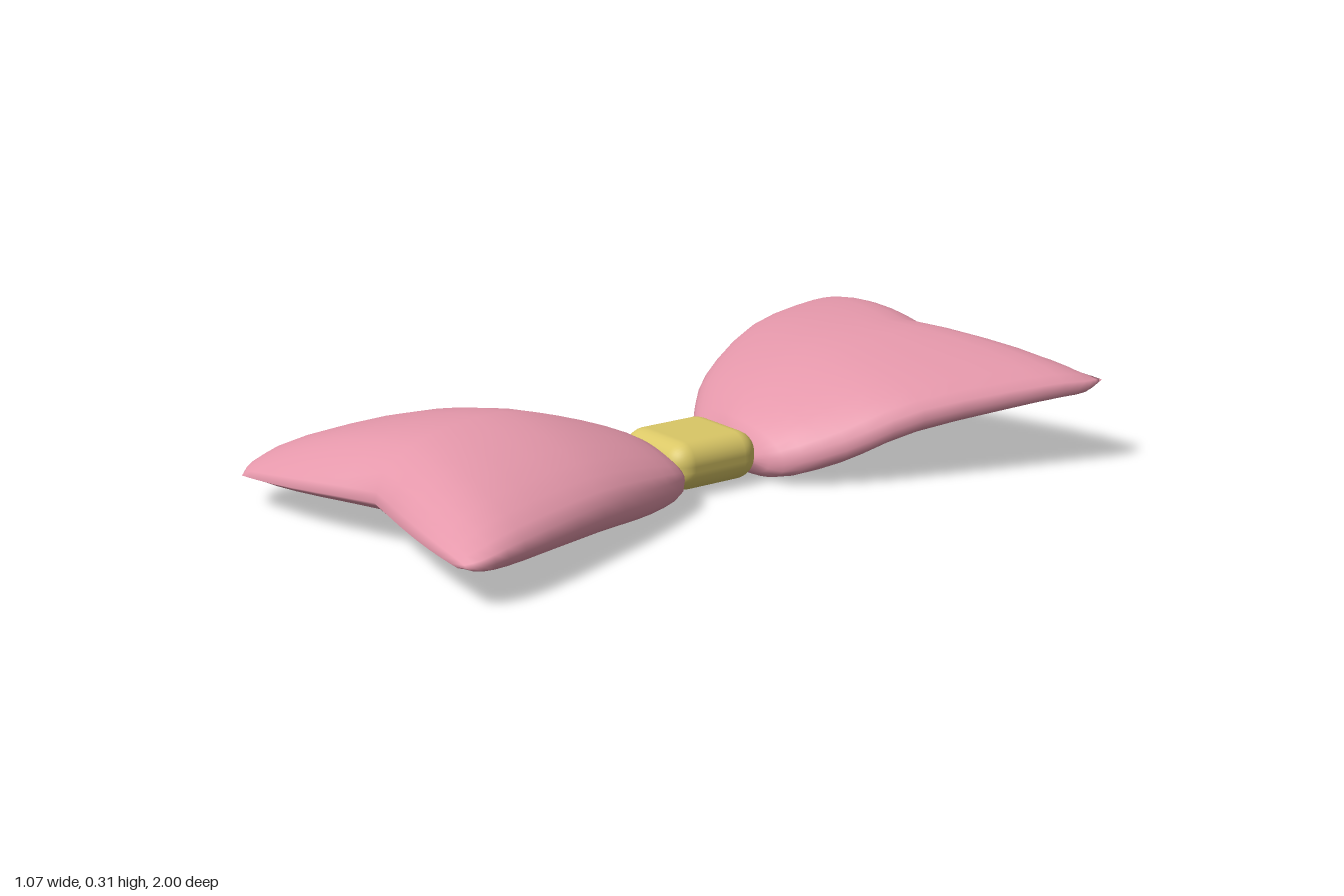
import * as THREE from 'three';
import { mergeVertices } from 'three/addons/utils/BufferGeometryUtils.js';
import { RoundedBoxGeometry } from 'three/addons/geometries/RoundedBoxGeometry.js';

// Each row of a loop, from knot to rim:
// [right edge x, z,  middle z,  left edge x, z,  middle top y, bottom y,  right edge y, left edge y]
const FRONT_ROWS = [
  [-0.08, 0.13, 0.11, 0.13, 0.105, 0.08, 0.08, 0.08, 0.08],
  [-0.16, 0.17, 0.14, 0.21, 0.15, 0.14, 0.02, 0.07, 0.07],
  [-0.31, 0.33, 0.30, 0.29, 0.29, 0.21, 0.02, 0.08, 0.08],
  [-0.47, 0.56, 0.50, 0.38, 0.50, 0.257, 0.05, 0.10, 0.10],
  [-0.54, 0.82, 0.72, 0.48, 0.78, 0.24, 0.07, 0.09, 0.105],
  [-0.52, 0.94, 0.85, 0.50, 0.90, 0.18, 0.085, 0.085, 0.10],
  [-0.46, 0.995, 0.89, 0.47, 0.95, 0.115, 0.115, 0.085, 0.10],
];
const BACK_ROWS = [
  [-0.10, -0.13, -0.135, 0.08, -0.13, 0.065, 0.065, 0.065, 0.06],
  [-0.22, -0.20, -0.17, 0.20, -0.17, 0.14, 0.005, 0.07, 0.06],
  [-0.37, -0.35, -0.32, 0.30, -0.29, 0.225, 0.05, 0.12, 0.10],
  [-0.50, -0.60, -0.50, 0.39, -0.47, 0.285, 0.11, 0.19, 0.17],
  [-0.54, -0.84, -0.70, 0.50, -0.78, 0.315, 0.17, 0.225, 0.21],
  [-0.53, -0.93, -0.80, 0.53, -0.90, 0.295, 0.19, 0.23, 0.215],
  [-0.47, -1.0, -0.84, 0.52, -0.96, 0.245, 0.245, 0.245, 0.225],
];

// Puffy cloth loop, lofted from lens-shaped sections that arch across x
function loopGeometry(rows, flip) {
  const spline = (pick) =>
    new THREE.CatmullRomCurve3(rows.map((r) => new THREE.Vector3(...pick(r))), false, 'catmullrom', 0.5);
  const right = spline((r) => [r[0], r[7], r[1]]);
  const left = spline((r) => [r[3], r[8], r[4]]);
  const middle = spline((r) => [(r[5] - r[6]) / 2, (r[5] + r[6]) / 2, r[2]]); // x holds half thickness
  const steps = (rows.length - 1) * 3;
  const sides = 32;
  const positions = [];
  const index = [];

  for (let i = 0; i <= steps; i++) {
    const t = i / steps;
    const L = left.getPoint(t);
    const R = right.getPoint(t);
    const M = middle.getPoint(t);
    for (let j = 0; j < sides; j++) {
      const a = (j / sides) * Math.PI * 2;
      const u = Math.cos(a);
      const s = Math.sin(a);
      const edge = u > 0 ? L : R;
      const k = Math.abs(u);
      const x = THREE.MathUtils.lerp(R.x, L.x, (u + 1) / 2);
      const arch = M.y + (edge.y - M.y) * Math.pow(k, 1.4);
      const y = arch + Math.max(M.x, 0) * Math.sign(s) * Math.pow(Math.abs(s), 0.8);
      const z = M.z + (edge.z - M.z) * Math.sin((k * Math.PI) / 2);
      positions.push(x, y, z);
    }
  }
  for (let i = 0; i < steps; i++) {
    for (let j = 0; j < sides; j++) {
      const a = i * sides + j;
      const b = i * sides + ((j + 1) % sides);
      const c = b + sides;
      const d = a + sides;
      if (flip) index.push(a, c, b, a, d, c);
      else index.push(a, b, c, a, c, d);
    }
  }
  const geometry = new THREE.BufferGeometry();
  geometry.setAttribute('position', new THREE.Float32BufferAttribute(positions, 3));
  geometry.setIndex(index);
  const merged = mergeVertices(geometry, 1e-4);
  merged.computeVertexNormals();
  return merged;
}

export function createModel() {
  const pink = new THREE.MeshStandardMaterial({ color: 0xe497aa });
  pink.name = 'pink cloth';
  const yellow = new THREE.MeshStandardMaterial({ color: 0xdac766 });
  yellow.name = 'yellow knot';

  const model = new THREE.Group();
  model.name = 'bow';
  const add = (name, geometry, material) => {
    const mesh = new THREE.Mesh(geometry, material);
    mesh.name = name;
    model.add(mesh);
    return mesh;
  };

  add('frontLoop', loopGeometry(FRONT_ROWS, false), pink);
  add('backLoop', loopGeometry(BACK_ROWS, true), pink);

  // Rounded knot in the middle
  const knot = add('knot', new RoundedBoxGeometry(0.26, 0.125, 0.265, 4, 0.055), yellow);
  knot.position.set(0.015, 0.077, -0.013);

  return model;
}
